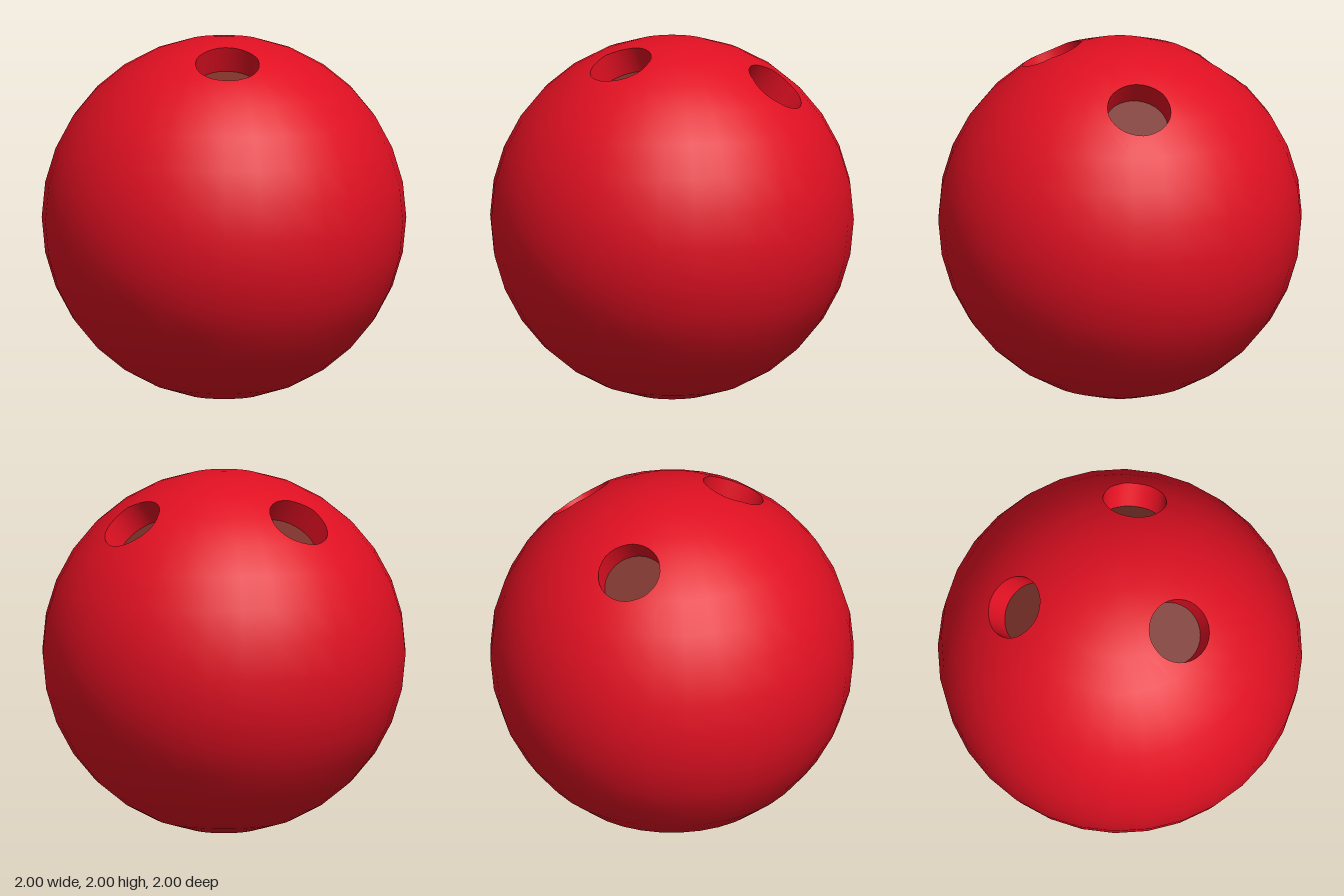
import * as THREE from 'three';

const HOLE_RADIUS = 0.175, FLOOR = 0.83, SIDES = 32;

// Outward axes of the three drilled holes, measured from the ball's centre
const HOLES = [
  [-0.165, 0.805, -0.57],
  [0.617, 0.785, -0.058],
  [-0.135, 0.918, 0.372],
].map((a) => new THREE.Vector3(...a).normalize());

// Split a convex polygon by the plane p.n = d into its inner and outer part
function split(poly, n, d) {
  const inner = [], outer = [];
  poly.forEach((a, i) => {
    const b = poly[(i + 1) % poly.length];
    const da = a.dot(n) - d, db = b.dot(n) - d;
    if (da <= 1e-7) inner.push(a);
    if (da >= -1e-7) outer.push(a);
    if ((da < -1e-7 && db > 1e-7) || (da > 1e-7 && db < -1e-7)) {
      const p = a.clone().lerp(b, da / (da - db));
      inner.push(p);
      outer.push(p);
    }
  });
  return { inner, outer };
}

// Turn convex polygons into a geometry, with a rule for the smooth normals
function polysToGeometry(polys, normalAt) {
  const pos = [], nor = [];
  for (const poly of polys) {
    for (let i = 1; i < poly.length - 1; i++) {
      for (const p of [poly[0], poly[i], poly[i + 1]]) {
        pos.push(p.x, p.y, p.z);
        const n = normalAt(p);
        nor.push(n.x, n.y, n.z);
      }
    }
  }
  const g = new THREE.BufferGeometry();
  g.setAttribute('position', new THREE.Float32BufferAttribute(pos, 3));
  g.setAttribute('normal', new THREE.Float32BufferAttribute(nor, 3));
  return g;
}

// Cut a many-sided prism along the axis out of the shell; returns shell and wall polygons
function drill(shell, axis) {
  const turn = new THREE.Quaternion().setFromUnitVectors(new THREE.Vector3(0, 0, 1), axis);
  const d = HOLE_RADIUS * Math.cos(Math.PI / SIDES);
  const planes = Array.from({ length: SIDES }, (_, i) => {
    const t = ((i + 0.5) / SIDES) * Math.PI * 2;
    return new THREE.Vector3(Math.cos(t), Math.sin(t), 0).applyQuaternion(turn);
  });
  const sink = (p) => p.clone().addScaledVector(axis, FLOOR - p.dot(axis));
  const kept = [], walls = [];
  for (const poly of shell) {
    if (!poly.some((p) => p.dot(axis) > 0.8)) {
      kept.push(poly);
      continue;
    }
    let rest = poly;
    const pieces = [];
    for (const n of planes) {
      const { inner, outer } = split(rest, n, d);
      if (outer.length > 2) pieces.push(outer);
      rest = inner;
      if (rest.length < 3) break;
    }
    if (rest.length < 3) {
      kept.push(poly);
      continue;
    }
    kept.push(...pieces);
    // Edges of the removed piece that lie on the prism become the hole's wall
    rest.forEach((a, i) => {
      const b = rest[(i + 1) % rest.length];
      const onWall = planes.some((n) => Math.abs(a.dot(n) - d) < 1e-5 && Math.abs(b.dot(n) - d) < 1e-5);
      if (onWall && a.distanceTo(b) > 1e-5) walls.push([a, b, sink(b), sink(a)]);
    });
  }
  return { kept, walls };
}

export function createModel() {
  const group = new THREE.Group();
  group.name = 'bowlingBall';
  const red = new THREE.MeshStandardMaterial({ color: 0xe01022 });
  const brown = new THREE.MeshStandardMaterial({ color: 0x783028 });
  const add = (name, geometry, material) => {
    const m = new THREE.Mesh(geometry, material);
    m.name = name;
    m.position.y = 1;
    group.add(m);
    return m;
  };

  // Ball surface as a list of triangles
  const p = new THREE.SphereGeometry(1, 32, 16).toNonIndexed().attributes.position;
  let shell = [];
  for (let i = 0; i < p.count; i += 3) {
    shell.push([0, 1, 2].map((k) => new THREE.Vector3().fromBufferAttribute(p, i + k)));
  }

  // Finger holes: cut, wall and dark floor
  HOLES.forEach((axis, i) => {
    const { kept, walls } = drill(shell, axis);
    shell = kept;
    const inward = (v) => axis.clone().multiplyScalar(v.dot(axis)).sub(v).normalize();
    add(`holeWall${i + 1}`, polysToGeometry(walls, inward), red);
    const floor = add(`holeFloor${i + 1}`, new THREE.CircleGeometry(HOLE_RADIUS, SIDES), brown);
    floor.quaternion.setFromUnitVectors(new THREE.Vector3(0, 0, 1), axis);
    floor.position.addScaledVector(axis, FLOOR);
  });

  add('ballShell', polysToGeometry(shell, (v) => v.clone().normalize()), red);
  return group;
}
